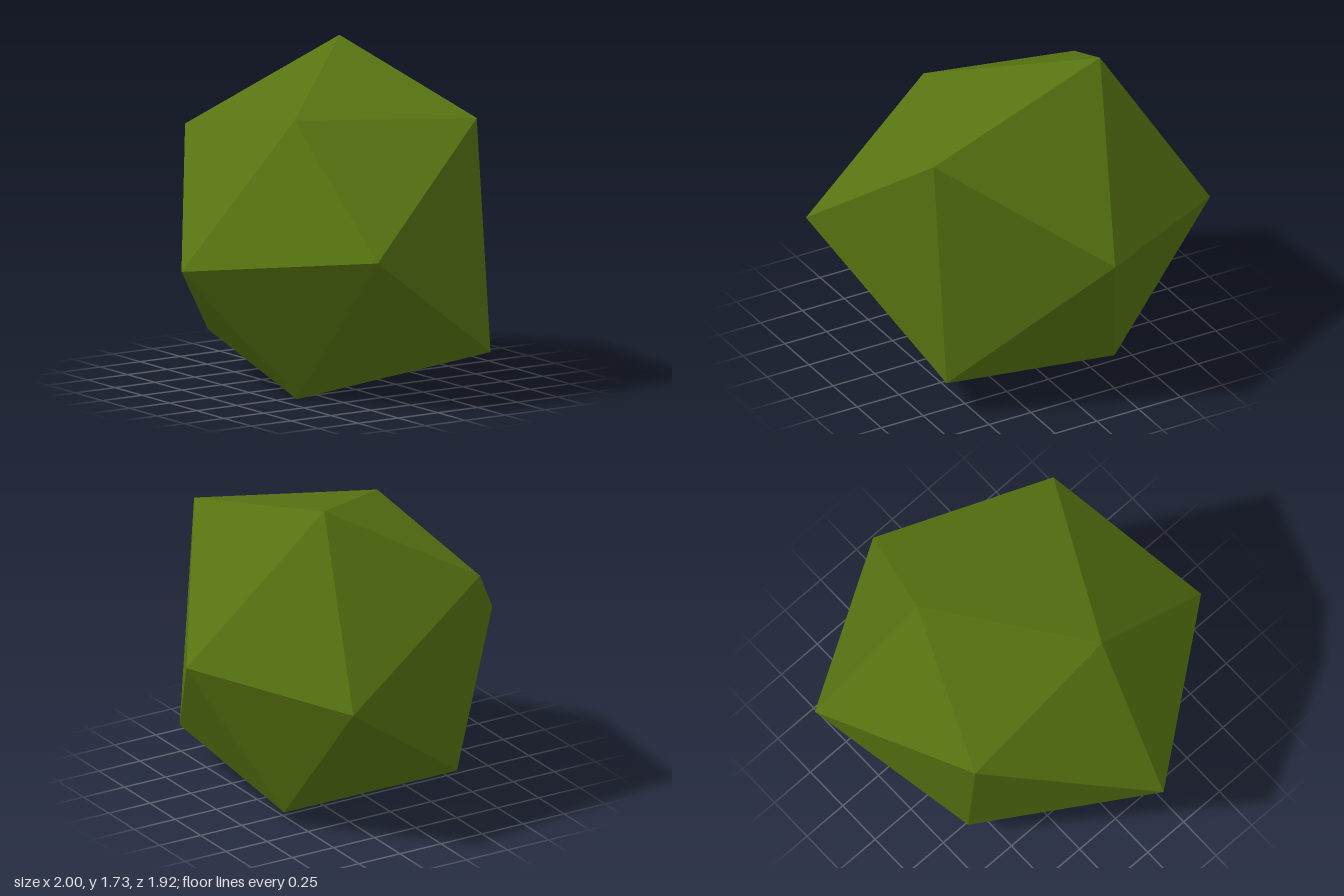
import * as THREE from 'three';

// Faceted boulder: an uneven icosahedron made of two poles and two staggered rings.
const leftPole = [-1, 0.71, 0.11];
const rightPole = [1, 0.89, -0.11];
const leftRing = [
  [-0.35, 0.82, 0.96],
  [-0.38, 1.46, 0.24],
  [-0.43, 1.3, -0.69],
  [-0.32, 0.21, -0.64],
  [-0.4, 0, 0.29],
];
const rightRing = [
  [0.47, 1.45, 0.67],
  [0.34, 1.73, -0.4],
  [0.51, 0.82, -0.96],
  [0.56, 0.07, -0.36],
  [0.57, 0.2, 0.65],
];

export function createModel() {
  const group = new THREE.Group();
  group.name = 'boulder';

  // Caps around each pole, with a zigzag band of triangles between the rings
  const corners = [];
  for (let i = 0; i < 5; i++) {
    const j = (i + 1) % 5;
    corners.push(
      leftPole, leftRing[i], leftRing[j],
      leftRing[j], leftRing[i], rightRing[i],
      leftRing[j], rightRing[i], rightRing[j],
      rightPole, rightRing[j], rightRing[i],
    );
  }
  const geometry = new THREE.BufferGeometry();
  geometry.setAttribute('position', new THREE.Float32BufferAttribute(corners.flat(), 3));
  geometry.computeVertexNormals();

  const mossGreen = new THREE.MeshStandardMaterial({ color: 0x567311, flatShading: true });
  mossGreen.name = 'moss green';

  const rock = new THREE.Mesh(geometry, mossGreen);
  rock.name = 'rock';
  group.add(rock);
  return group;
}
